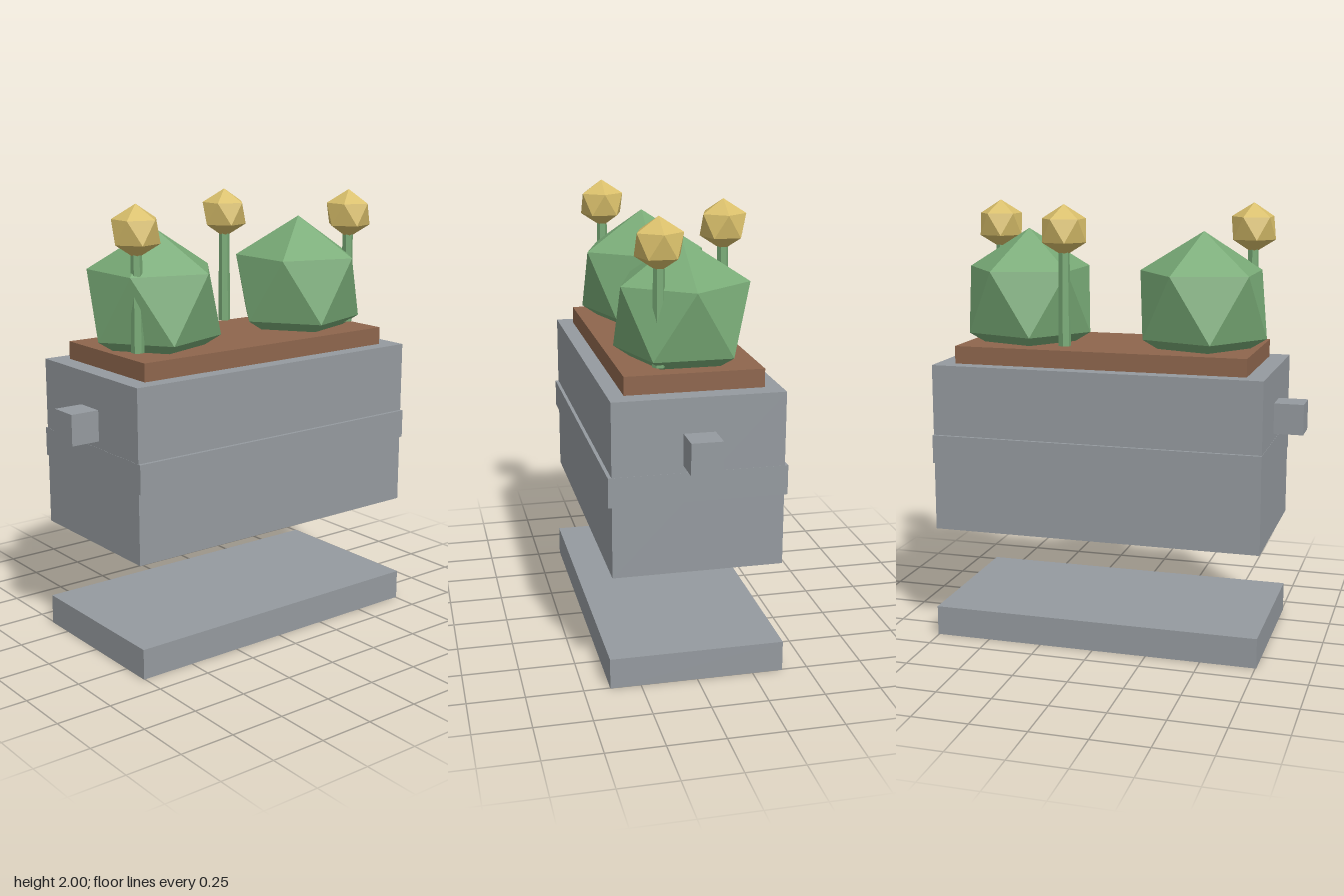
import * as THREE from 'three';

const material = (name, color) => {
  const m = new THREE.MeshStandardMaterial({ color });
  m.name = name;
  return m;
};

export function createModel() {
  const group = new THREE.Group();
  const stone = material('stone grey', 0x959a9f);
  const earth = material('soil brown', 0x8e664d);
  const leaf = material('leaf green', 0x78aa76);
  const petal = material('petal gold', 0xd8be6a);
  leaf.flatShading = petal.flatShading = true;

  const add = (name, geometry, mat, x, y, z) => {
    const mesh = new THREE.Mesh(geometry, mat);
    mesh.name = name;
    mesh.position.set(x, y, z);
    group.add(mesh);
  };

  // Box given by full width, bottom, top and full depth
  const slab = (name, w, y0, y1, d, mat, x = 0) =>
    add(name, new THREE.BoxGeometry(w, y1 - y0, d), mat, x, (y0 + y1) / 2, 0);

  // Icosahedron standing on a corner, with one upper-ring corner towards +x
  const ball = (r) => new THREE.IcosahedronGeometry(r, 0).rotateZ(-Math.atan(2 / (1 + Math.sqrt(5))));

  // Stone planter
  slab('basePlate', 1.51, 0, 0.137, 0.77, stone);
  slab('foot', 1.185, 0.485, 0.53, 0.55, stone);
  slab('planterBody', 1.51, 0.513, 1.28, 0.74, stone);
  slab('planterBand', 1.512, 0.828, 0.958, 0.77, stone);
  for (const side of [-1, 1]) {
    slab(side > 0 ? 'leftHandle' : 'rightHandle', 0.145, 0.99, 1.128, 0.136, stone, side * 0.815);
  }
  slab('soil', 1.34, 1.26, 1.36, 0.6, earth);

  // Shrubs, sunk into the soil
  for (const x of [-0.412, 0.412]) add('shrub', ball(0.327), leaf, x, 1.551, 0);

  // Flowers on thin stems
  for (const [x, z] of [[-0.607, 0.158], [0.163, -0.247], [0.602, 0.138]]) {
    add('stem', new THREE.CylinderGeometry(0.024, 0.029, 0.46, 6), leaf, x, 1.605, z);
    add('flower', ball(0.114), petal, x, 1.886, z);
  }
  return group;
}
